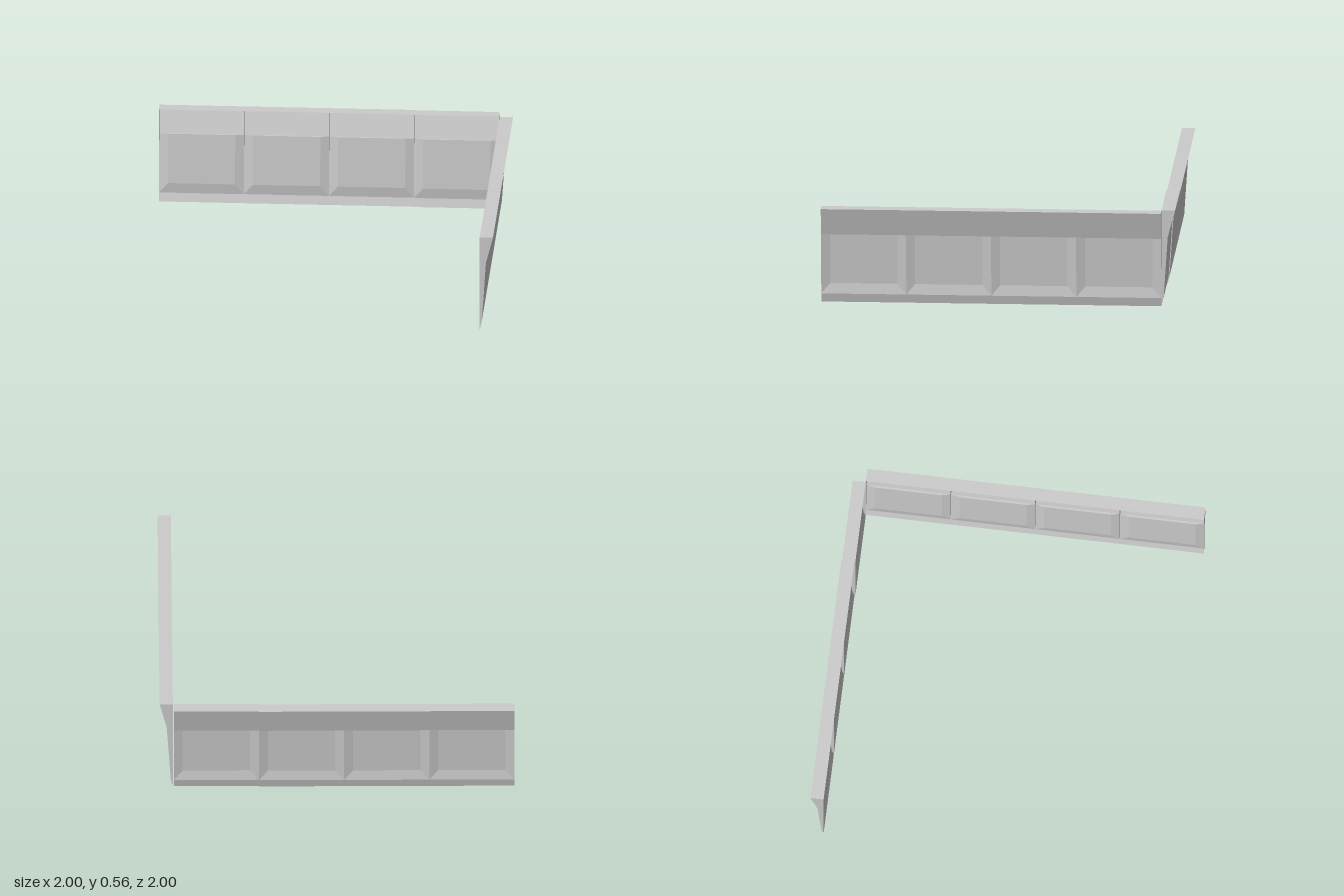
import * as THREE from 'three';

const HEIGHT = 0.555;
const BAYS = 4;
const BAY = 0.48;
// Outer profile of the wall: [height, overhang from the vertical inner plane]
const PROFILE = [[0, 0], [0.05, 0.012], [0.4, 0.035], [HEIGHT, 0.075]];
const INSET = 0.05, SILL = 0.11, DEPTH = 0.011;

const material = new THREE.MeshStandardMaterial({
  color: 0xcccccc, flatShading: true, side: THREE.DoubleSide,
});

// Mesh from convex polygons, each fanned from its first corner
function facetMesh(name, polygons) {
  const pos = [];
  for (const p of polygons) {
    for (let i = 1; i < p.length - 1; i++) pos.push(...p[0], ...p[i], ...p[i + 1]);
  }
  const geo = new THREE.BufferGeometry();
  geo.setAttribute('position', new THREE.Float32BufferAttribute(pos, 3));
  geo.computeVertexNormals();
  const mesh = new THREE.Mesh(geo, material);
  mesh.name = name;
  return mesh;
}

// One bay along x, its outer side facing -z and its inner side open
function createBay() {
  const bay = new THREE.Group();
  const at = (u, [y, d]) => [u, y, -d];
  const band = (a, b) => [at(0, a), at(0, b), at(BAY, b), at(BAY, a)];
  const [foot, low, high, top] = PROFILE;
  const innerTop = [HEIGHT, 0];

  bay.add(facetMesh('baseBand', [band(foot, low)]));
  bay.add(facetMesh('upperBand', [band(high, top)]));
  bay.add(facetMesh('topLedge', [band(top, innerTop)]));

  // Recessed panel with a sloping sill and bevelled sides
  const t = (SILL - low[0]) / (high[0] - low[0]);
  const sillIn = [SILL, low[1] + t * (high[1] - low[1]) - DEPTH];
  const headIn = [high[0], high[1] - DEPTH];
  const outer = band(low, high);
  const inner = [
    at(INSET, sillIn), at(INSET, headIn),
    at(BAY - INSET, headIn), at(BAY - INSET, sillIn),
  ];
  const bevels = outer.map((p, k) => {
    const n = (k + 1) % 4;
    return [p, outer[n], inner[n], inner[k]];
  });
  bay.add(facetMesh('panel', [inner]));
  bay.add(facetMesh('panelBevel', bevels));

  // Wedge-shaped ribs closing both ends
  const rib = (u) => [innerTop, ...PROFILE].map((p) => at(u, p));
  const startRib = rib(0);
  bay.add(facetMesh('startRib', [[startRib[0], ...startRib.slice(1).reverse()]]));
  bay.add(facetMesh('endRib', [rib(BAY)]));
  return bay;
}

function createWall(name) {
  const wall = new THREE.Group();
  wall.name = name;
  for (let i = 0; i < BAYS; i++) {
    const bay = createBay();
    bay.name = `bay${i + 1}`;
    bay.position.x = i * BAY;
    wall.add(bay);
  }
  return wall;
}

export function createModel() {
  const model = new THREE.Group();
  model.name = 'cornerWall';

  // Back wall; the bay beside the corner sits slightly further in
  const back = createWall('backWall');
  back.position.set(-1, 0, -0.925);
  back.children[BAYS - 1].position.z = 0.005;

  // Side wall, turned so its outer side faces +x
  const side = createWall('sideWall');
  side.rotation.y = -Math.PI / 2;
  side.position.set(0.925, 0, -0.92);

  model.add(back, side);
  return model;
}
